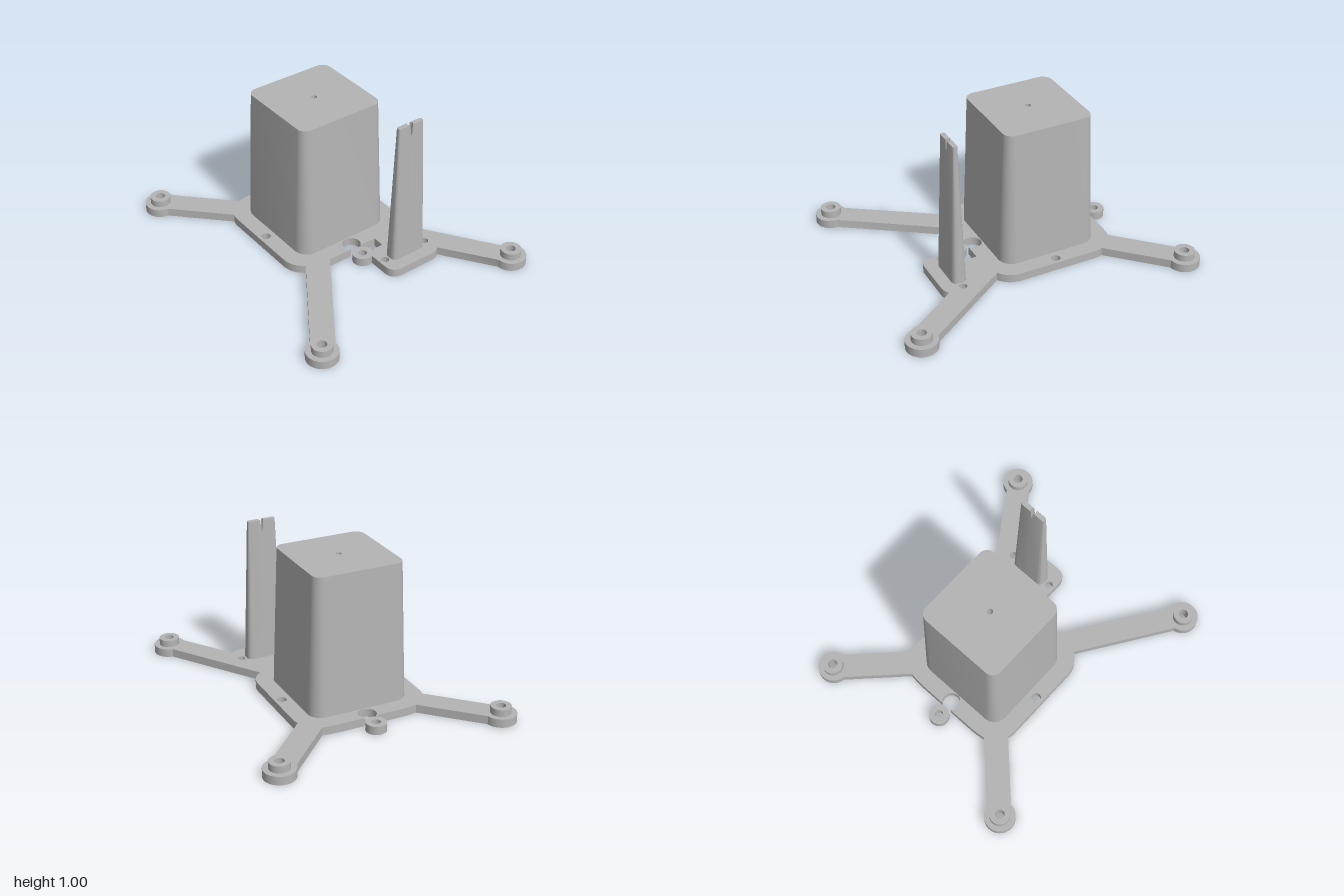
import * as THREE from 'three';
import { toCreasedNormals } from 'three/addons/utils/BufferGeometryUtils.js';

const BASE = 0.055; // plate thickness
const PIN = 0.018; // radius of the vertical pin holes
const rad = THREE.MathUtils.degToRad;
const grey = new THREE.MeshStandardMaterial({ color: 0xb4b4b4 });
grey.name = 'grey plastic';

function mesh(name, geometry) {
  const m = new THREE.Mesh(toCreasedNormals(geometry, 0.6), grey);
  m.name = name;
  return m;
}

function hole(shape, x, z, r) {
  shape.holes.push(new THREE.Path().absarc(x, z, r, 0, Math.PI * 2, true));
}

// Extrudes an (x, z) outline upward from height y
function slab(name, shape, y, h) {
  const g = new THREE.ExtrudeGeometry(shape, { depth: h, bevelEnabled: false, curveSegments: 32 });
  return mesh(name, g.rotateX(Math.PI / 2).translate(0, y + h, 0));
}

function ring(name, x, z, r, inner, y, h) {
  const s = new THREE.Shape().absarc(x, z, r, 0, Math.PI * 2, false);
  hole(s, x, z, inner);
  return slab(name, s, y, h);
}

function arcPoints(cx, cz, r, a0, a1, n) {
  return Array.from({ length: n + 1 }, (_, i) => {
    const a = a0 + (a1 - a0) * i / n;
    return new THREE.Vector2(cx + r * Math.cos(a), cz + r * Math.sin(a));
  });
}

// Skins equal-length (x, z) loops stacked at given heights; closes the top around an optional hole
function loft(levels, pin) {
  const pos = [];
  const put = (p, y) => pos.push(p.x, y, p.y);
  const skin = (A, ya, B, yb) => A.forEach((a, i) => {
    const j = (i + 1) % A.length;
    put(a, ya); put(B[i], yb); put(B[j], yb);
    put(a, ya); put(B[j], yb); put(A[j], ya);
  });
  for (let k = 1; k < levels.length; k++) {
    skin(levels[k - 1].loop, levels[k - 1].y, levels[k].loop, levels[k].y);
  }
  const top = levels[levels.length - 1];
  const holes = [];
  if (pin) {
    const h = arcPoints(0, 0, pin, 0, -Math.PI * 2, 20).slice(0, -1);
    skin(h, BASE, h, top.y);
    holes.push(h);
  }
  const all = [...top.loop, ...holes.flat()];
  for (const [a, b, c] of THREE.ShapeUtils.triangulateShape(top.loop.slice(), holes)) {
    put(all[a], top.y); put(all[c], top.y); put(all[b], top.y);
  }
  const g = new THREE.BufferGeometry();
  g.setAttribute('position', new THREE.Float32BufferAttribute(pos, 3));
  g.computeVertexNormals();
  return g;
}

// Base plate with four arms and the side pad, traced round once
function basePlate() {
  const s = new THREE.Shape();
  const to = (...pts) => pts.forEach(([x, z]) => s.lineTo(x, z));
  s.moveTo(-0.595, -0.32);
  s.absarc(-0.9, -0.735, 0.1, rad(98), rad(357), false); // back right arm end
  to([-0.483, -0.427]);
  s.quadraticCurveTo(-0.46, -0.437, -0.425, -0.437);
  to([0.095, -0.437]);
  s.quadraticCurveTo(0.18, -0.435, 0.227, -0.363);
  s.absarc(0.9, -0.735, 0.1, rad(188), rad(450), false); // back left arm end
  to([0.574, -0.41]);
  s.quadraticCurveTo(0.6, -0.385, 0.6, -0.34); // pad
  to([0.6, -0.1]);
  s.quadraticCurveTo(0.6, -0.027, 0.52, -0.027);
  s.absarc(0.335, 0, 0.065, rad(-25), rad(300), false); // lug
  s.quadraticCurveTo(0.345, -0.08, 0.345, -0.1);
  to([0.345, -0.15], [0.265, -0.15]);
  s.absarc(0.22, 0, 0.058, rad(-39), rad(39), true); // open hole
  to([0.265, 0.205]);
  s.absarc(0.9, 0.735, 0.1, rad(-92), rad(172), false); // front left arm end
  to([0.227, 0.363]);
  s.quadraticCurveTo(0.18, 0.435, 0.095, 0.437);
  to([-0.425, 0.437]);
  s.quadraticCurveTo(-0.46, 0.437, -0.483, 0.427);
  s.absarc(-0.9, 0.735, 0.1, rad(3), rad(262), false); // front right arm end
  to([-0.595, 0.32]);
  s.quadraticCurveTo(-0.605, 0.26, -0.605, 0.2);
  s.absarc(-0.56, 0, 0.058, rad(141), rad(-141), true); // open hole
  to([-0.605, -0.2]);
  s.quadraticCurveTo(-0.605, -0.26, -0.595, -0.32);

  for (const x of [-0.9, 0.9]) for (const z of [-0.735, 0.735]) hole(s, x, z, 0.03);
  for (const z of [-0.39, 0.39]) hole(s, -0.17, z, 0.03);
  for (const z of [-0.39, -0.07]) hole(s, 0.472, z, 0.025);
  hole(s, 0.335, 0, 0.027);
  hole(s, -0.17, 0, PIN);
  hole(s, 0.472, -0.23, PIN);
  return slab('basePlate', s, 0, BASE);
}

// Rounded rectangle loop
function roundedLoop(hx, hz, r) {
  return [[1, 1], [-1, 1], [-1, -1], [1, -1]].flatMap(([sx, sz], i) =>
    arcPoints(sx * (hx - r), sz * (hz - r), r, i * Math.PI / 2, (i + 1) * Math.PI / 2, 8));
}

// Half of the post's section; the pin hole splits the post where it grows thinner than the hole
function postLoop(t) {
  const hw = THREE.MathUtils.lerp(0.047, 0.0155, t);
  const hz = THREE.MathUtils.lerp(0.125, 0.0925, t);
  const rc = 0.7 * hw;
  const s = Math.sqrt(Math.max(0, PIN * PIN - hw * hw));
  const a = Math.asin(s / PIN);
  return [
    new THREE.Vector2(hw, s),
    ...arcPoints(hw - rc, hz - rc, rc, 0, Math.PI / 2, 6),
    ...arcPoints(rc - hw, hz - rc, rc, Math.PI / 2, Math.PI, 6),
    new THREE.Vector2(-hw, s),
    ...arcPoints(0, 0, PIN, Math.PI - a, a, 12),
  ];
}

export function createModel() {
  const model = new THREE.Group();
  model.name = 'mountingFrame';
  model.add(basePlate());

  // Raised bosses on the arm ends
  for (const x of [-0.9, 0.9]) for (const z of [-0.735, 0.735]) {
    model.add(ring('armBoss', x, z, 0.065, 0.03, BASE, 0.045));
  }
  model.add(ring('rightLug', -0.675, 0, 0.065, 0.027, 0, BASE));

  // Tapered tower
  const tower = mesh('tower', loft([
    { y: BASE, loop: roundedLoop(0.327, 0.33, 0.09) },
    { y: 0.955, loop: roundedLoop(0.296, 0.298, 0.06) },
  ], PIN));
  tower.position.x = -0.17;
  model.add(tower);

  // Thin notched post, two matching halves
  const post = new THREE.Group();
  post.name = 'post';
  const half = loft([0, 0.92, 0.94, 0.96, 0.98, 1].map(t => (
    { y: BASE + (1 - BASE) * t, loop: postLoop(t) })));
  for (const turn of [0, Math.PI]) {
    const m = mesh('postHalf', half);
    m.rotation.y = turn;
    post.add(m);
  }
  post.position.set(0.472, 0, -0.23);
  model.add(post);
  return model;
}
